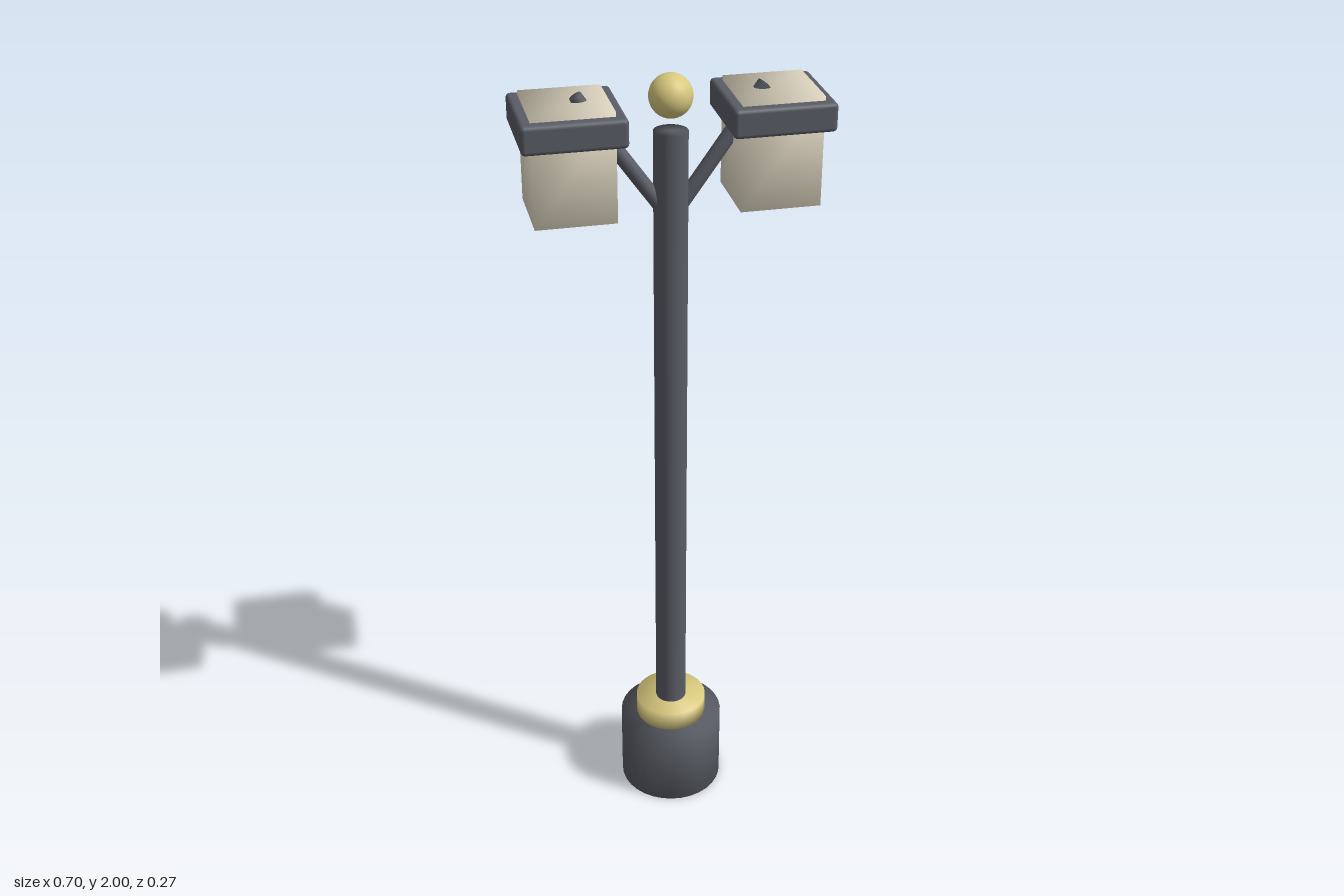
import * as THREE from 'three';
import { mergeVertices } from 'three/addons/utils/BufferGeometryUtils.js';
import { RoundedBoxGeometry } from 'three/addons/geometries/RoundedBoxGeometry.js';

const metal = new THREE.MeshStandardMaterial({ color: 0x5a5d66 });
const brass = new THREE.MeshStandardMaterial({ color: 0xd8c87e });
const glass = new THREE.MeshStandardMaterial({ color: 0xeae1cb });

// Shares the corner vertices so the shading runs softly over the edges
function soften(geometry) {
  geometry.deleteAttribute('normal');
  geometry.deleteAttribute('uv');
  const merged = mergeVertices(geometry, 1e-4);
  merged.computeVertexNormals();
  return merged;
}

function addPart(parent, name, geometry, material, x, y, z = 0) {
  const mesh = new THREE.Mesh(geometry, material);
  mesh.name = name;
  mesh.position.set(x, y, z);
  parent.add(mesh);
  return mesh;
}

// Upright cylinder between two heights
function addColumn(parent, name, radius, bottom, top, material) {
  const geometry = soften(new THREE.CylinderGeometry(radius, radius, top - bottom, 32));
  return addPart(parent, name, geometry, material, 0, (bottom + top) / 2);
}

// Square lantern with its slanted support arm; side is +1 or -1
function createLamp(side) {
  const lamp = new THREE.Group();
  lamp.name = side > 0 ? 'leftLamp' : 'rightLamp';
  const x = side * 0.233;

  addPart(lamp, 'lampGlass', soften(new THREE.BoxGeometry(0.186, 0.255, 0.186)), glass, x, 1.8275);
  addPart(lamp, 'lampRim', new RoundedBoxGeometry(0.235, 0.066, 0.235, 3, 0.01), metal, x, 1.912);

  // The arm rises from inside the pole and just breaks through the lamp top
  const start = new THREE.Vector3(0, 1.66, 0);
  const end = new THREE.Vector3(side * 0.214, 1.962, 0);
  const along = end.clone().sub(start);
  const arm = addPart(lamp, 'arm', soften(new THREE.CylinderGeometry(0.0175, 0.0175, along.length(), 20)),
    metal, end.x / 2, (start.y + end.y) / 2);
  arm.quaternion.setFromUnitVectors(new THREE.Vector3(0, 1, 0), along.normalize());
  return lamp;
}

export function createModel() {
  const model = new THREE.Group();
  model.name = 'streetLamp';

  // Foot and post
  addColumn(model, 'base', 0.135, 0, 0.212, metal);
  addColumn(model, 'collar', 0.093, 0.212, 0.265, brass);
  addColumn(model, 'pole', 0.04, 0.2, 1.87, metal);

  // Ball above the post
  addPart(model, 'finial', new THREE.SphereGeometry(0.05, 32, 20), brass, 0, 1.95);

  for (const side of [1, -1]) model.add(createLamp(side));
  return model;
}
